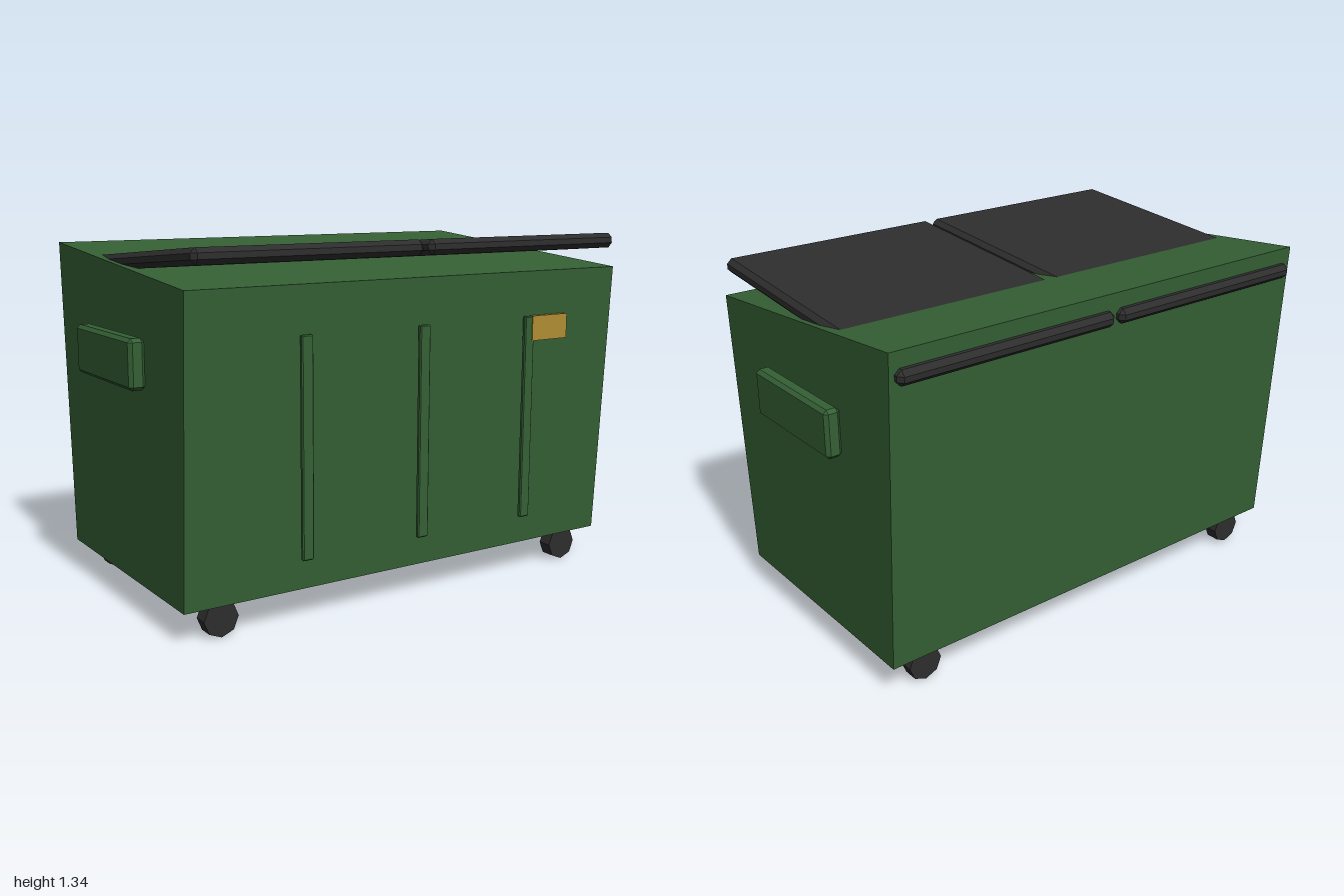
import * as THREE from 'three';
import { ConvexGeometry } from 'three/addons/geometries/ConvexGeometry.js';

const mat = (name, color) => {
  const m = new THREE.MeshStandardMaterial({ color });
  m.name = name;
  return m;
};

// Box with every edge cut by a flat chamfer c
function chamferBox(w, h, d, c) {
  const pts = [];
  for (const sx of [-1, 1]) for (const sy of [-1, 1]) for (const sz of [-1, 1]) {
    const x = w / 2, y = h / 2, z = d / 2;
    pts.push(
      new THREE.Vector3(sx * x, sy * (y - c), sz * (z - c)),
      new THREE.Vector3(sx * (x - c), sy * y, sz * (z - c)),
      new THREE.Vector3(sx * (x - c), sy * (y - c), sz * z));
  }
  return new ConvexGeometry(pts);
}

export function createModel() {
  const green = mat('green paint', 0x356035);
  const black = mat('black plastic', 0x2d2d2d);
  const yellow = mat('yellow plate', 0xb08d32);

  const model = new THREE.Group();
  model.name = 'dumpster';
  const add = (name, geometry, material, x, y, z) => {
    const mesh = new THREE.Mesh(geometry, material);
    mesh.name = name;
    mesh.position.set(x, y, z);
    model.add(mesh);
    return mesh;
  };

  // Container: tapered side profile with a sloping top, extruded across the width
  const profile = new THREE.Shape([
    [-0.5, 0.12], [0.495, 0.12], [0.555, 1.31], [-0.56, 1.21],
  ].map(([x, y]) => new THREE.Vector2(x, y)));
  const body = new THREE.ExtrudeGeometry(profile, { depth: 1.88, bevelEnabled: false });
  body.translate(0, 0, -0.94).rotateY(Math.PI / 2); // profile x becomes -z
  add('container', body, green, 0, 0, 0);

  // Front ribs
  for (const x of [-0.495, 0, 0.495])
    add('frontRib', chamferBox(0.046, 0.79, 0.018, 0.004), green, x, 0.645, 0.567);

  // Plate beside the right-hand rib
  add('plate', new THREE.BoxGeometry(0.175, 0.095, 0.02), yellow, 0.593, 0.993, 0.569);

  const pocket = chamferBox(0.06, 0.18, 0.495, 0.013);
  const lid = chamferBox(0.908, 0.057, 1.17, 0.018);
  const wheel = new THREE.CylinderGeometry(0.067, 0.067, 0.056, 8).toNonIndexed();
  wheel.rotateX(Math.PI / 2);
  wheel.computeVertexNormals();

  for (const s of [-1, 1]) {
    // Fork pocket on each side
    add('sidePocket', pocket, green, s * 0.97, 0.935, 0.002);
    // Lid raised at the front, sunk into the container towards the back
    add('lid', lid, black, s * 0.465, 1.268, 0.002).rotation.x = -0.084;
    // Wheels
    for (const z of [0.452, -0.442]) add('wheel', wheel, black, s * 0.79, 0.067, z);
  }
  return model;
}
